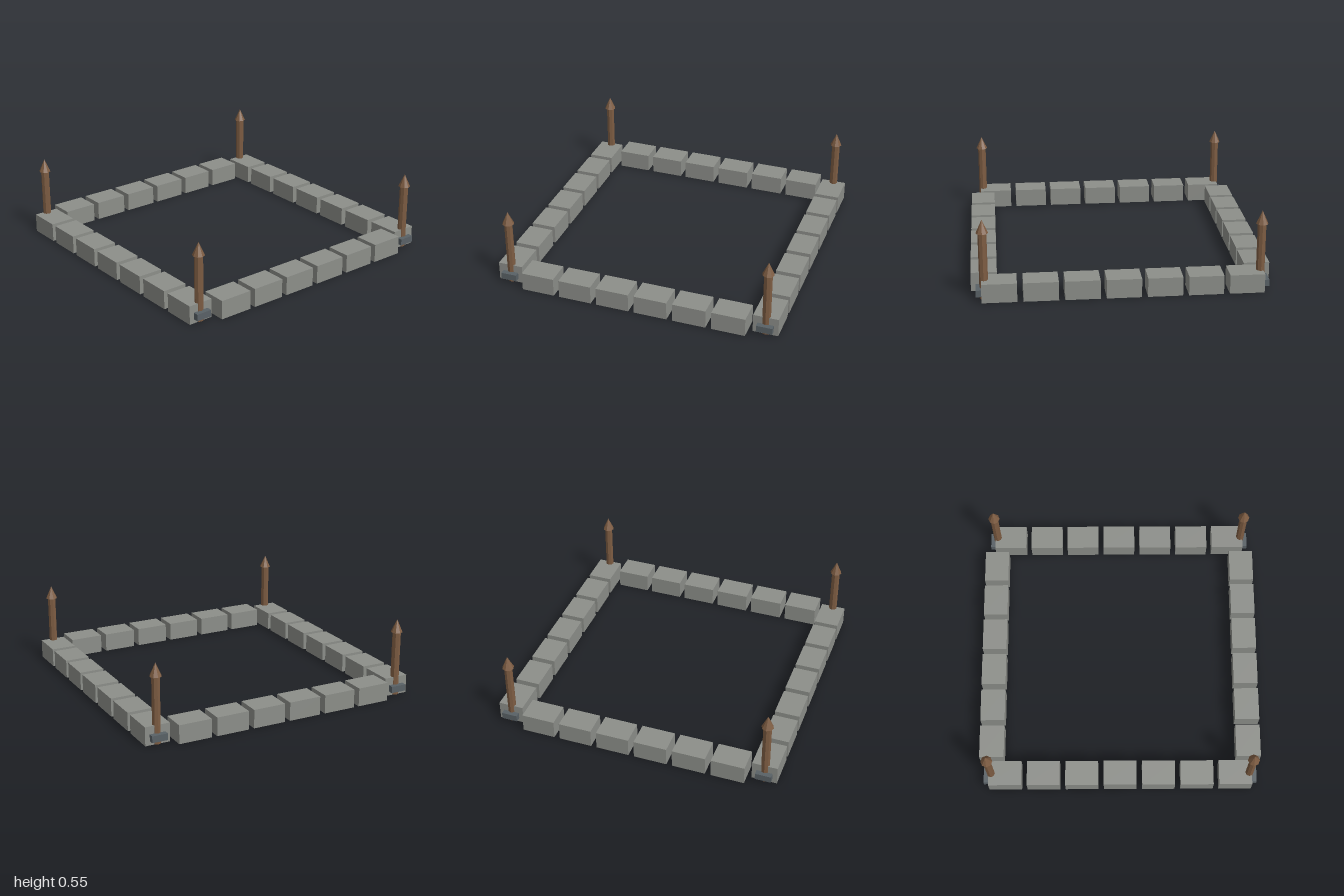
import * as THREE from 'three';

const material = (color) => new THREE.MeshStandardMaterial({ color, flatShading: true });

export function createModel() {
  const group = new THREE.Group();
  const stone = material(0x8c8e89);
  const wood = material(0x7d5c42);
  const iron = material(0x596166);

  function add(parent, name, geometry, mat, x, y, z) {
    const mesh = new THREE.Mesh(geometry, mat);
    mesh.name = name;
    mesh.position.set(x, y, z);
    parent.add(mesh);
    return mesh;
  }

  // Four rows of foundation stones: seven at front and back, six at the sides
  const height = 0.13, length = 0.232, depth = 0.174, pitch = 0.2715;
  const rowOffset = 1 - depth / 2;
  const longStone = new THREE.BoxGeometry(length, height, depth);
  const sideStone = new THREE.BoxGeometry(depth, height, length);
  for (const side of [-1, 1]) {
    for (let i = 0; i < 7; i++) {
      add(group, side > 0 ? 'frontStone' : 'backStone', longStone, stone,
        (i - 3) * pitch, height / 2, side * rowOffset);
    }
    for (let i = 0; i < 6; i++) {
      add(group, side > 0 ? 'leftStone' : 'rightStone', sideStone, stone,
        side * rowOffset, height / 2, (i - 2.5) * pitch);
    }
  }

  // Pointed corner stakes, each held by a square iron collar
  const shaft = new THREE.CylinderGeometry(0.029, 0.029, 0.455, 8);
  const tip = new THREE.ConeGeometry(0.041, 0.09, 8);
  const collar = new THREE.BoxGeometry(0.11, 0.046, 0.11);
  for (const sx of [-1, 1]) {
    for (const sz of [-1, 1]) {
      const stake = new THREE.Group();
      stake.name = 'cornerStake';
      stake.position.set(sx * 0.913, 0, sz * 0.913);
      add(stake, 'stakeShaft', shaft, wood, 0, 0.2275, 0);
      add(stake, 'stakeTip', tip, wood, 0, 0.5, 0);
      add(stake, 'stakeCollar', collar, iron, 0, 0.053, 0);
      group.add(stake);
    }
  }
  return group;
}
